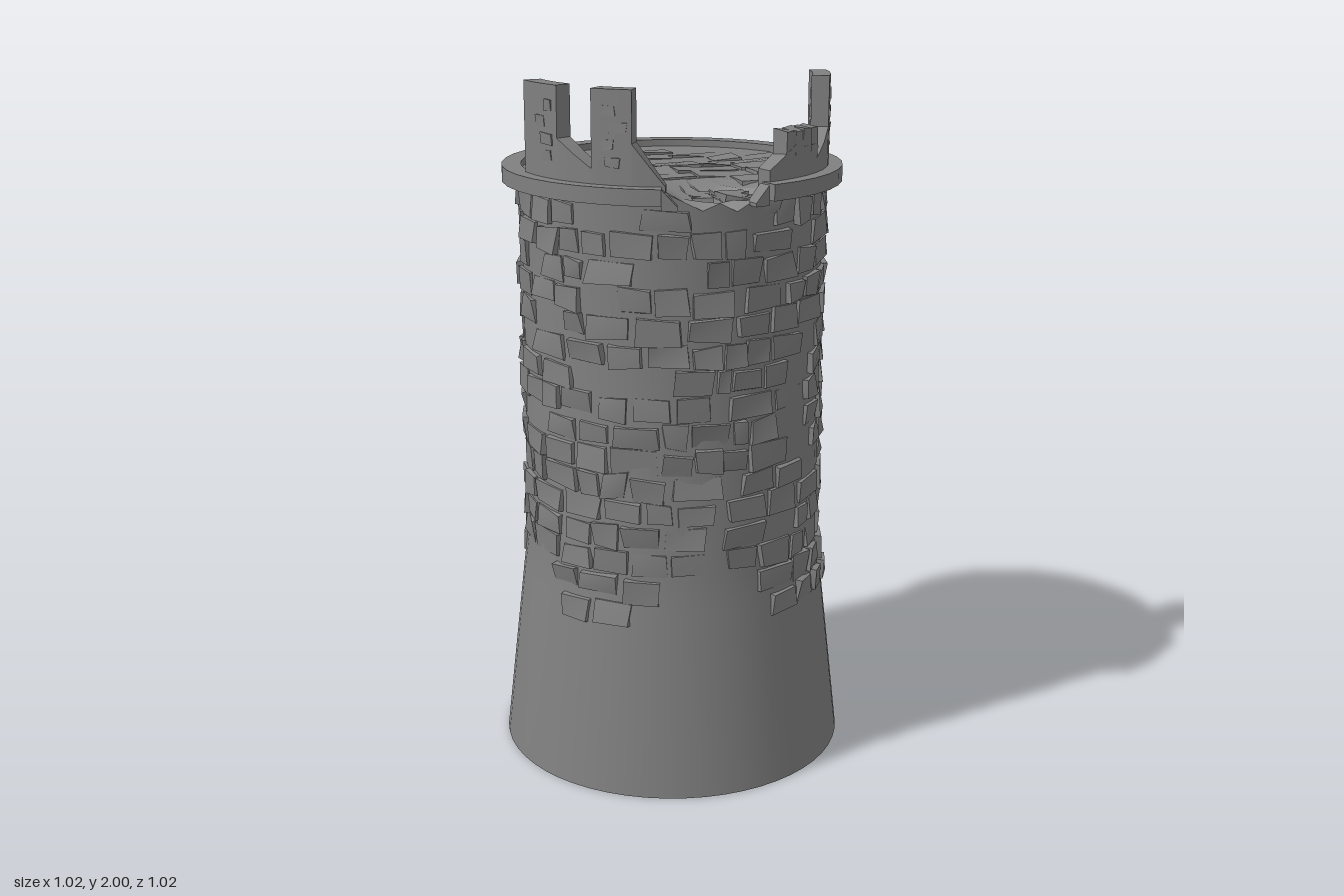
import * as THREE from 'three';
import { mergeGeometries, toCreasedNormals } from 'three/addons/utils/BufferGeometryUtils.js';

let seed = 7;
const rand = (lo = 0, hi = 1) => {
  seed = (seed * 16807) % 2147483647;
  return lo + (hi - lo) * (seed / 2147483647);
};

const FLOOR = 1.73;
const IN = 0.395, OUT = 0.445; // parapet radii

// Angles run from the front (+z) towards +x
const polar = (r, a, y) => [r * Math.sin(a), y, r * Math.cos(a)];

// Curved block between two angles; the top may slope from yA to yB
function sector(rIn, rOut, a0, a1, y0, yA, yB = yA) {
  const n = Math.max(1, Math.ceil(Math.abs(a1 - a0) / 0.17));
  const pos = [], idx = [];
  for (let i = 0; i <= n; i++) {
    const t = i / n, a = a0 + (a1 - a0) * t, y = yA + (yB - yA) * t;
    pos.push(...polar(rIn, a, y0), ...polar(rOut, a, y0), ...polar(rOut, a, y), ...polar(rIn, a, y));
    if (i === n) continue;
    for (let k = 0; k < 4; k++) {
      const p = i * 4 + k, q = i * 4 + (k + 1) % 4;
      idx.push(p, p + 4, q + 4, p, q + 4, q);
    }
  }
  const e = n * 4;
  idx.push(0, 1, 2, 0, 2, 3, e, e + 2, e + 1, e, e + 3, e + 2);
  const g = new THREE.BufferGeometry();
  g.setAttribute('position', new THREE.Float32BufferAttribute(pos, 3));
  g.setIndex(idx);
  return toCreasedNormals(g, 0.5);
}

// Box whose eight corners are placed by a rule taking the signs of x, y, z
function cornerBox(rule) {
  const g = new THREE.BoxGeometry(2, 2, 2);
  const p = g.attributes.position, corners = {};
  for (let i = 0; i < p.count; i++) {
    const s = [p.getX(i), p.getY(i), p.getZ(i)];
    const c = (corners[s.join()] ??= rule(...s));
    p.setXYZ(i, ...c);
  }
  g.computeVertexNormals();
  return g;
}

// Uneven stone bedded in a round wall
function wallStone(a, y, w, h, rIn, rOut, rough) {
  const j = Math.min(w, h) * 0.1;
  return cornerBox((sx, sy, sz) => {
    const inset = sz > 0 ? 0.9 : 1;
    const r = sz > 0 ? rOut + rand(-rough, rough) : rIn;
    return polar(r, a + (sx * w * inset / 2 + rand(-j, j)) / rOut, y + sy * h * inset / 2 + rand(-j, j));
  });
}

// Shallow hollow where the front edge has collapsed
function breach(x, z) {
  const d = Math.max(0, 1 - Math.hypot((x - 0.03) / 0.17, (z - 0.42) / 0.22));
  return Math.min(1, d * 2);
}

// Tower body: flared base, straight wall and floor
function bodyGeometry() {
  const profile = [[0, 0], [0.51, 0], [0.447, 0.55], [0.434, 0.65], [0.431, 1.6], [0.431, FLOOR],
    [0.4, FLOOR], [0.36, FLOOR], [0.31, FLOOR], [0.26, FLOOR], [0.2, FLOOR], [0, FLOOR]];
  const g = new THREE.LatheGeometry(profile.map(([x, y]) => new THREE.Vector2(x, y)), 56);
  const p = g.attributes.position;
  for (let i = 0; i < p.count; i++) {
    const x = p.getX(i), z = p.getZ(i);
    if (p.getY(i) < 1.7) continue;
    const b = breach(x, z);
    p.setY(i, FLOOR - b * (0.04 + 0.016 * Math.sin(x * 71 + z * 53)));
  }
  g.deleteAttribute('uv');
  g.deleteAttribute('normal');
  return toCreasedNormals(g, 0.4);
}

// Courses of stones around the wall, fading out over the base
function wallStones() {
  const list = [], rowH = 0.075;
  for (let y = 0.46; y < 1.69; y += rowH) {
    const base = y < 0.55 ? 0.51 - y * 0.1145 : y < 0.65 ? 0.447 - (y - 0.55) * 0.13 : 0.432;
    let a = rand(0, 0.2);
    const end = a + Math.PI * 2;
    while (a < end - 0.1) {
      const w = Math.min(rand(0.07, 0.16), (end - a) * base);
      const mid = a + w / base / 2;
      a += w / base;
      const lowest = 0.57 + 0.1 * Math.cos(4 * mid) + rand(-0.04, 0.04);
      const inBreach = y > 1.62 && Math.cos(mid) > 0.95;
      if (y < lowest || inBreach || rand() < 0.14) continue;
      const h = rowH * rand(0.8, 1.05);
      list.push(wallStone(mid, y + rand(-0.006, 0.006), w * 0.95, h, base - 0.03, base + 0.01, 0.009));
    }
  }
  return mergeGeometries(list);
}

// Tilted paving slabs, barely proud of the floor
function floorSlabs() {
  const list = [];
  for (let z = -0.3; z < 0.3; z += 0.09) {
    let x = -0.36 + rand(0, 0.06);
    while (x < 0.34) {
      const w = rand(0.09, 0.2), cx = x + w / 2;
      x += w;
      if (Math.hypot(cx, z) + w * 0.4 > 0.41 || breach(cx, z) > 0 || rand() < 0.2) continue;
      list.push(cornerBox((sx, sy, sz) => [
        cx + sx * w * 0.47 + rand(-0.006, 0.006),
        sy > 0 ? FLOOR + rand(-0.006, 0.012) : FLOOR - 0.03,
        z + sz * 0.042 + rand(-0.006, 0.006)]));
    }
  }
  return mergeGeometries(list);
}

// Broken stones lying in the collapsed edge
function rubble() {
  const list = [];
  for (let i = 0; i < 12; i++) {
    const cx = rand(-0.07, 0.13), cz = rand(0.27, 0.39), s = rand(0.025, 0.045);
    list.push(cornerBox((sx, sy, sz) => [
      cx + sx * s + rand(-0.012, 0.012),
      sy > 0 ? FLOOR - 0.03 + rand(-0.01, 0.014) : FLOOR - 0.07,
      cz + sz * s + rand(-0.012, 0.012)]));
  }
  return mergeGeometries(list);
}

export function createModel() {
  const tower = new THREE.Group();
  tower.name = 'ruinedTower';
  const stone = new THREE.MeshStandardMaterial({ color: 0x808080 });
  stone.name = 'greyStone';
  const add = (name, geometry, parent = tower) => {
    const mesh = new THREE.Mesh(geometry, stone);
    mesh.name = name;
    parent.add(mesh);
  };

  add('body', bodyGeometry());
  add('wallStones', wallStones());
  add('floorSlabs', floorSlabs());
  add('rubble', rubble());

  // Rim ledge, open at the collapsed front, with jagged ends
  add('rim', sector(0.43, 0.485, 0.29, Math.PI * 2 - 0.36, 1.705, 1.75));
  add('rimBrokenEndLeft', sector(0.42, 0.462, 0.2, 0.29, 1.69, 1.7, 1.745));
  add('rimBrokenEndRight', sector(0.42, 0.465, -0.36, -0.27, 1.69, 1.745, 1.7));

  // Parapet: each side has a tall merlon and a sloping sill
  for (const side of [1, -1]) {
    const parapet = new THREE.Group();
    parapet.name = side > 0 ? 'leftParapet' : 'rightParapet';
    tower.add(parapet);
    const block = (name, a0, a1, y0, y1) => add(name, side > 0
      ? sector(IN, OUT, a0, a1, 1.7, y0, y1)
      : sector(IN, OUT, -a1, -a0, 1.7, y1, y0), parapet);
    const studs = (a0, a1) => {
      const list = [];
      for (let y = 1.81; y < 1.98; y += 0.045) {
        const a = side * rand(a0 + 0.08, a1 - 0.08);
        list.push(wallStone(a, y, rand(0.03, 0.055), 0.03, IN - 0.005, OUT + 0.002, 0.002));
      }
      add('merlonStones', mergeGeometries(list), parapet);
    };
    block('rearMerlon', 1.06, 1.43, 2, 2);
    studs(1.06, 1.43);
    block('sill', 0.8, 1.06, 1.79, 1.86);
    if (side < 0) {
      block('frontMerlon', 0.54, 0.8, 2, 2);
      studs(0.54, 0.8);
      block('frontSlope', 0.34, 0.54, 1.75, 1.86);
    } else {
      // Broken merlon with a ragged top
      block('brokenMerlon', 0.54, 0.8, 1.83, 1.83);
      block('frontSlope', 0.32, 0.54, 1.78, 1.84);
      const tops = [];
      for (let i = 0; i < 4; i++) {
        tops.push(wallStone(0.5 + i * 0.085, 1.845, 0.045, 0.07, IN + 0.004, OUT - 0.004, 0.006));
      }
      add('brokenStones', mergeGeometries(tops), parapet);
    }
  }
  return tower;
}
